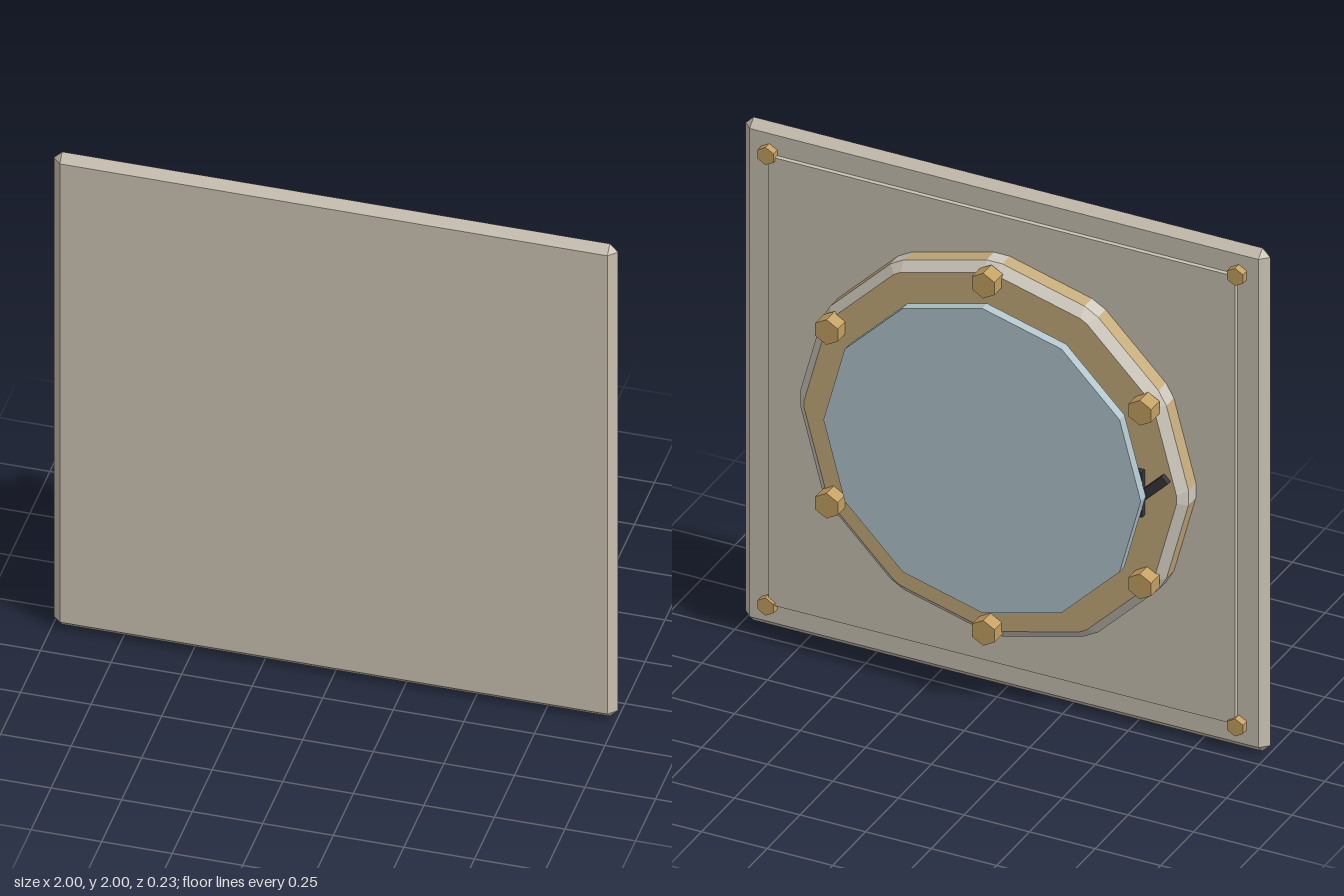
import * as THREE from 'three';
import { ConvexGeometry } from 'three/addons/geometries/ConvexGeometry.js';

export function createModel() {
  const material = (name, color) => {
    const m = new THREE.MeshStandardMaterial({ color });
    m.name = name;
    return m;
  };
  const stone = material('warm grey', 0xcac2b2);
  const tan = material('tan', 0xc6ac7c);
  const wornEdge = material('pale edge', 0xcfcabf);
  const brass = material('brass', 0xc4a062);
  const glassBlue = material('pale blue', 0xb2c6cd);
  const dark = material('charcoal', 0x36353a);

  const group = new THREE.Group();
  const add = (name, geometry, mat, x = 0, y = 0, z = 0) => {
    const mesh = new THREE.Mesh(geometry, mat);
    mesh.name = name;
    mesh.position.set(x, y, z);
    group.add(mesh);
    return mesh;
  };
  // Faceted prism along z with a corner pointing up
  const prism = (radius, depth, sides) => {
    const g = new THREE.CylinderGeometry(radius, radius, depth, sides).rotateX(Math.PI / 2).toNonIndexed();
    g.computeVertexNormals();
    return g;
  };

  // Square plate, chamfered so far that its rim is a ridge
  const b = 0.03;
  const corners = [];
  for (const sx of [-1, 1]) for (const sy of [-1, 1]) {
    for (const z of [-b, b]) corners.push(new THREE.Vector3(sx * (1 - b), sy * (1 - b), z));
    corners.push(new THREE.Vector3(sx, sy * (1 - b), 0), new THREE.Vector3(sx * (1 - b), sy, 0));
  }
  add('plate', new ConvexGeometry(corners), stone, 0, 1, 0.084);

  // Thin raised panel on the back with a nut on each corner
  add('backPanel', new THREE.BoxGeometry(1.78, 1.78, 0.02), stone, 0, 1, 0.047);
  for (const sx of [-1, 1]) for (const sy of [-1, 1]) {
    add('cornerNut', prism(0.035, 0.03, 6), brass, sx * 0.895, 1 + sy * 0.895, 0.04);
  }

  // Twelve-sided collar with pale chamfers on every outer edge
  const outline = (apex, half) => {
    const points = [];
    for (let i = 0; i < 12; i++) for (const s of [-1, 1]) {
      const a = i * Math.PI / 6;
      points.push([apex * Math.cos(a) - s * half * Math.sin(a), apex * Math.sin(a) + s * half * Math.cos(a)]);
    }
    return points;
  };
  const outer = outline(0.74, 0.03);
  const inner = outline(0.71, 0.015);
  const zFront = 0.05, zRim = -0.02, zBack = -0.05;
  const body = [], edges = [];
  const quad = (list, p, q, r, s) => list.push(...p, ...q, ...r, ...p, ...r, ...s);
  for (let i = 0; i < 24; i++) {
    const j = (i + 1) % 24;
    const rimA = [...outer[i], zRim], rimB = [...outer[j], zRim];
    const backA = [...inner[i], zBack], backB = [...inner[j], zBack];
    quad(i % 2 ? body : edges, rimA, [...outer[i], zFront], [...outer[j], zFront], rimB);
    quad(edges, backA, rimA, rimB, backB);
    body.push(0, 0, zBack, ...backB, ...backA);
  }
  // Side faces wind outward
  const faceted = (list) => {
    const g = new THREE.BufferGeometry();
    g.setAttribute('position', new THREE.Float32BufferAttribute(list, 3));
    g.computeVertexNormals();
    return g;
  };
  tan.side = wornEdge.side = THREE.DoubleSide;
  add('collar', faceted(body), tan, 0, 1, 0);
  add('collarEdges', faceted(edges), wornEdge, 0, 1, 0);

  // Six bolts around the collar
  for (let i = 0; i < 6; i++) {
    const a = Math.PI / 6 + i * Math.PI / 3;
    add('collarBolt', prism(0.05, 0.063, 6), brass, 0.69 * Math.cos(a), 1 + 0.69 * Math.sin(a), -0.0735);
  }

  // Window disc held just behind the collar
  add('window', prism(0.605, 0.037, 12), glassBlue, 0, 1, -0.0945);

  // Dark bar behind the window, with a slanted tip showing beside it
  add('bar', new THREE.BoxGeometry(1.05, 0.18, 0.022), dark, -0.065, 1, -0.063);
  const tip = add('barTip', new THREE.BoxGeometry(0.13, 0.035, 0.022), dark, -0.63, 1.035, -0.063);
  tip.rotation.z = -Math.PI / 4;

  return group;
}
